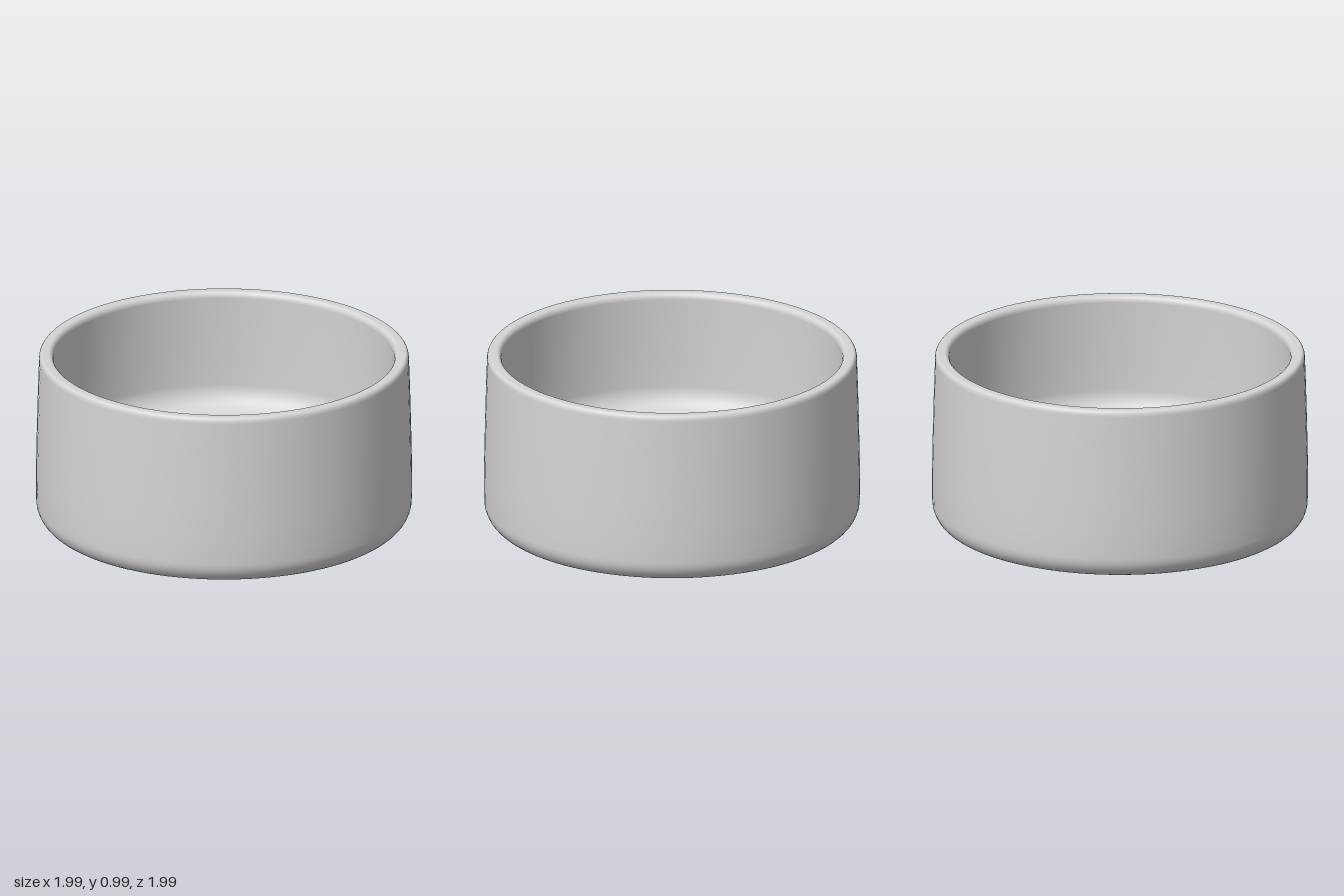
import * as THREE from 'three';

const SEGMENTS = 96;

// Smooth surface of revolution through the given [radius, height] points
function lathe(name, points, material) {
  const profile = points.map(([r, y]) => new THREE.Vector2(r, y));
  const mesh = new THREE.Mesh(new THREE.LatheGeometry(profile, SEGMENTS), material);
  mesh.name = name;
  return mesh;
}

// Quarter-ellipse fillet between two angles, as profile points
function arc(cx, cy, rx, ry, from, to, steps = 8) {
  return Array.from({ length: steps + 1 }, (_, i) => {
    const a = THREE.MathUtils.degToRad(from + ((to - from) * i) / steps);
    return [cx + rx * Math.cos(a), cy + ry * Math.sin(a)];
  });
}

export function createModel() {
  const ceramic = new THREE.MeshStandardMaterial({ color: 0xd4d4d4 });
  const model = new THREE.Group();
  model.name = 'basin';

  // Outer wall: shallow underside, rounded lower corner, slight inward taper
  model.add(lathe('outerWall', [
    [0.58, 0.006], [0.66, 0.012], [0.74, 0.021], [0.82, 0.033],
    ...arc(0.89, 0.16, 0.105, 0.115, -75, 0),
    [0.997, 0.24], [0.996, 0.35], [0.992, 0.55], [0.986, 0.78], [0.98, 0.955],
  ], ceramic));

  // Rounded rim
  model.add(lathe('rim', [
    ...arc(0.96, 0.955, 0.02, 0.03, 0, 90, 6),
    ...arc(0.93, 0.955, 0.025, 0.03, 90, 180, 6),
  ], ceramic));

  // Inner wall flowing through a fillet into the gently sloping floor
  model.add(lathe('innerBowl', [
    [0.905, 0.955], [0.908, 0.8], [0.91, 0.6],
    ...arc(0.79, 0.46, 0.12, 0.13, 0, -88),
    [0.6, 0.322], [0.4, 0.314], [0.185, 0.307], [0.185, 0.28], [0, 0.28],
  ], ceramic));

  // Flat foot under the basin
  model.add(lathe('foot', [[0, 0], [0.575, 0], [0.58, 0.006]], ceramic));

  // Domed drain cover standing in a narrow recess
  model.add(lathe('drainCover', [
    [0.175, 0.28], [0.175, 0.312],
    ...arc(0.165, 0.312, 0.01, 0.008, 0, 70, 3),
    [0.14, 0.326], [0.1, 0.332], [0.05, 0.336], [0, 0.337],
  ], ceramic));

  return model;
}
